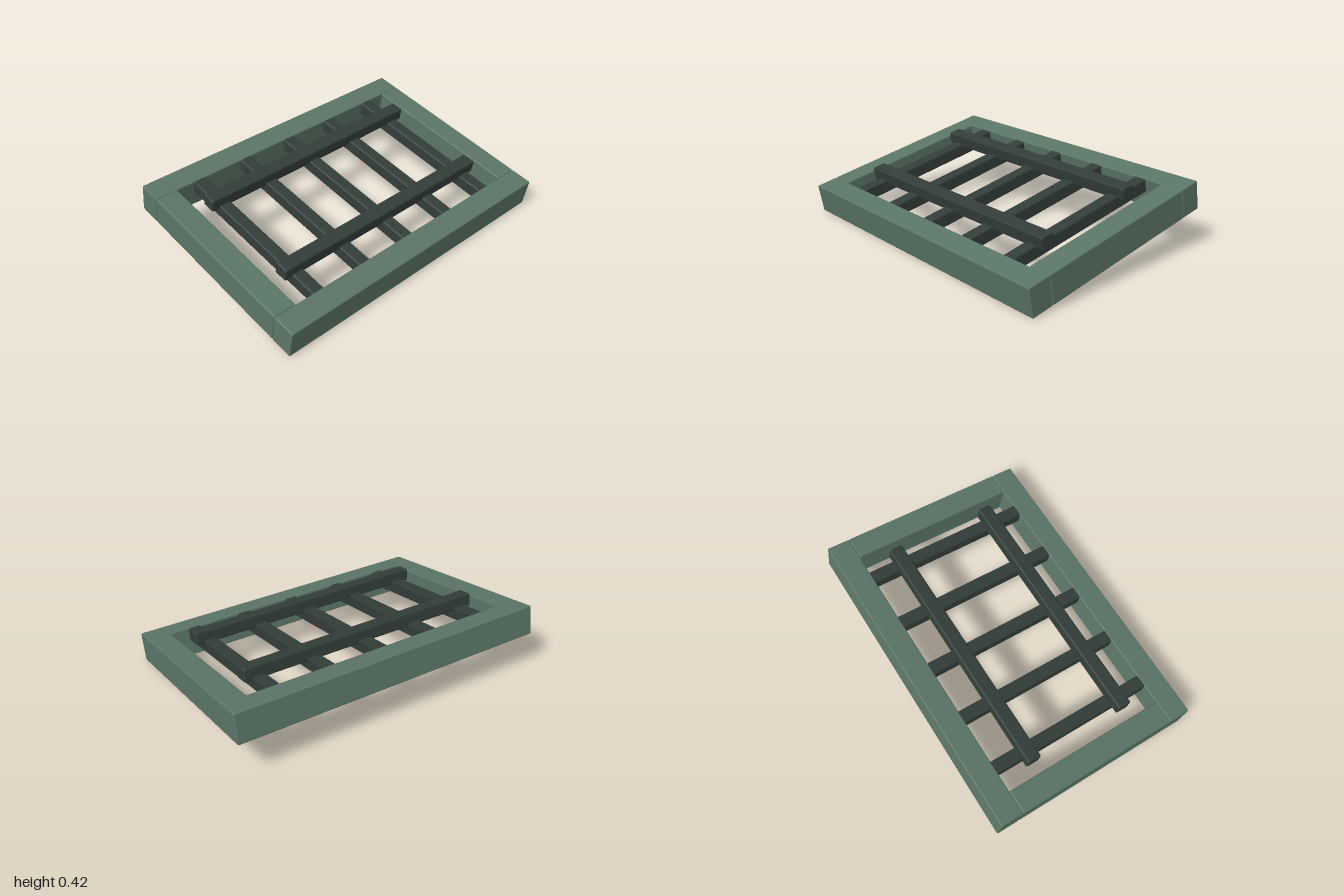
import * as THREE from 'three';
import { RoundedBoxGeometry } from 'three/addons/geometries/RoundedBoxGeometry.js';

export function createModel() {
  const model = new THREE.Group();
  model.name = 'tiltedGrate';

  const frameGreen = new THREE.MeshStandardMaterial({ color: 0x5a7566 });
  frameGreen.name = 'frameGreen';
  const barDark = new THREE.MeshStandardMaterial({ color: 0x323d38 });
  barDark.name = 'barDark';

  // Everything is built flat, then the whole panel is tilted with its front low
  const panel = new THREE.Group();
  panel.name = 'panel';
  panel.rotation.x = THREE.MathUtils.degToRad(10.3);
  panel.position.y = 0.213;
  model.add(panel);

  function beam(name, material, size, position, bevel) {
    const mesh = new THREE.Mesh(new RoundedBoxGeometry(...size, 2, bevel), material);
    mesh.name = name;
    mesh.position.set(...position);
    panel.add(mesh);
  }

  const length = 1.363, height = 0.184, rail = 0.145;
  const inner = length - 2 * rail;

  // Outer frame: full-width front and back rails with side rails between
  beam('frontRail', frameGreen, [2, height, rail], [0, 0, (length - rail) / 2], 0.008);
  beam('backRail', frameGreen, [2, height, rail], [0, 0, -(length - rail) / 2], 0.008);
  beam('leftRail', frameGreen, [rail, height, inner], [1 - rail / 2, 0, 0], 0.008);
  beam('rightRail', frameGreen, [rail, height, inner], [-1 + rail / 2, 0, 0], 0.008);

  // Five long bars running front to back, level with the top of the frame
  for (let i = -2; i <= 2; i++) {
    beam('longBar', barDark, [0.08, 0.082, inner + 0.02], [i * 0.348, 0.048, 0], 0.01);
  }

  // Two crossbars resting on the long bars
  for (const z of [0.327, -0.327]) {
    beam('crossbar', barDark, [1.572, 0.082, 0.088], [0, 0.108, z], 0.01);
  }

  return model;
}
